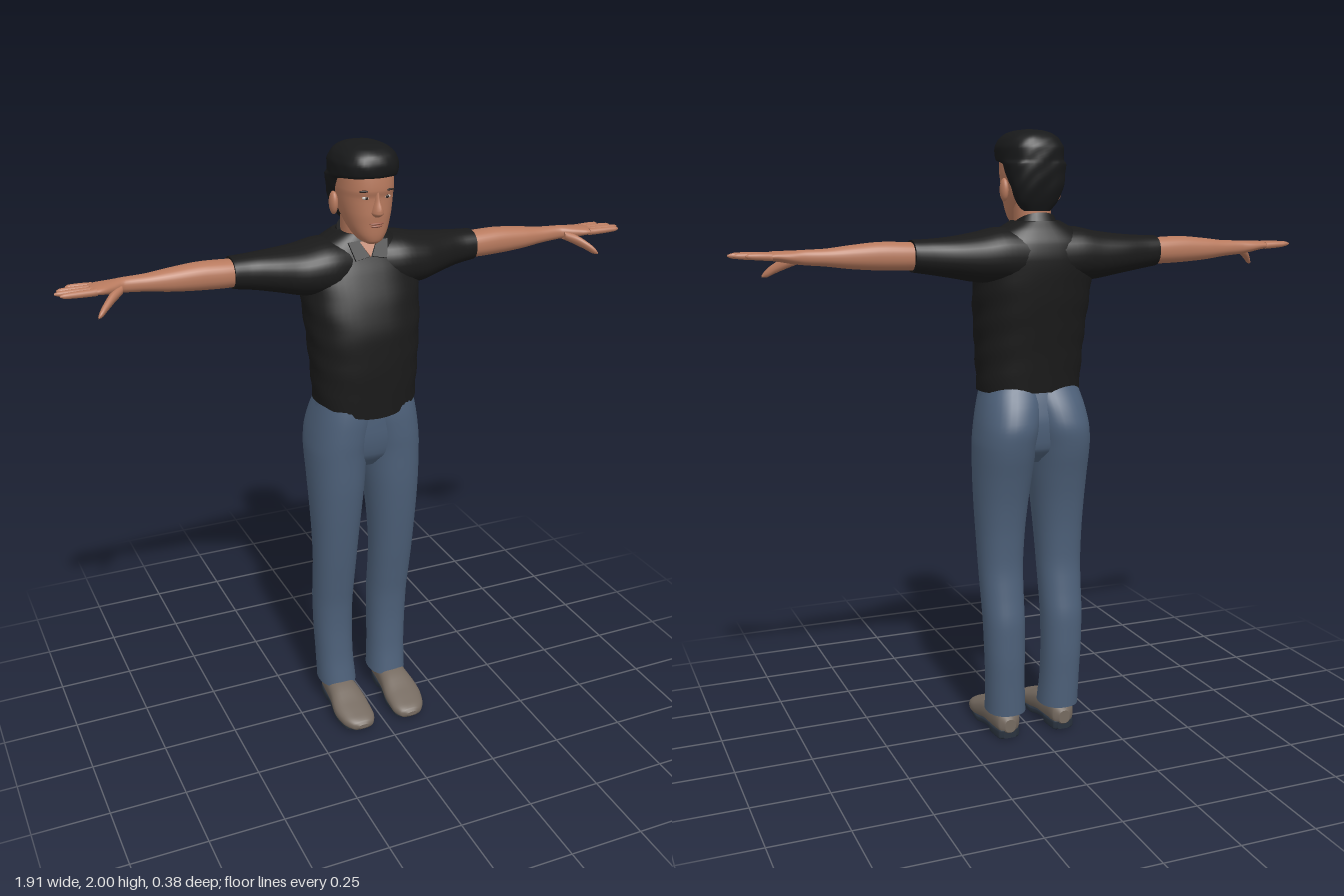
import * as THREE from 'three';

const mat = (name, color, side = THREE.FrontSide) => {
  const m = new THREE.MeshStandardMaterial({ color, side });
  m.name = name;
  return m;
};

// Smooth, overshoot-free interpolation through section rows [t, aMin, aMax, bMin, bMax]
function sample(rows, steps) {
  const slope = (i, k) => (rows[i + 1][k] - rows[i][k]) / (rows[i + 1][0] - rows[i][0]);
  const tangent = (i, k) => {
    if (i === 0) return slope(0, k);
    if (i === rows.length - 1) return slope(i - 1, k);
    const p = slope(i - 1, k), q = slope(i, k);
    return p * q <= 0 ? 0 : (2 * p * q) / (p + q);
  };
  const out = [];
  for (let i = 0; i < rows.length - 1; i++) {
    const h = rows[i + 1][0] - rows[i][0];
    for (let s = 0; s < steps; s++) {
      const u = s / steps, u2 = u * u, u3 = u2 * u;
      out.push(rows[i].map((v, k) => k === 0 ? v + h * u
        : v * (2 * u3 - 3 * u2 + 1) + rows[i + 1][k] * (3 * u2 - 2 * u3)
          + h * (tangent(i, k) * (u3 - 2 * u2 + u) + tangent(i + 1, k) * (u3 - u2))));
    }
  }
  out.push(rows[rows.length - 1]);
  return out;
}

// Capped loft of super-ellipses. Rows by axis: y -> (x, z), x -> (z, y), z -> (y, x)
function loft(rows, { axis = 'y', n = 2.3, seg = 32, steps = 4, tweak } = {}) {
  const pos = [], idx = [], rings = sample(rows, steps);
  const bend = (v) => Math.sign(v) * Math.abs(v) ** (2 / n);
  const ringPoints = rings.map(([t, a0, a1, b0, b1]) => Array.from({ length: seg }, (_, j) => {
    const th = (j / seg) * Math.PI * 2;
    const a = (a0 + a1) / 2 + ((a1 - a0) / 2) * bend(Math.cos(th));
    const b = (b0 + b1) / 2 + ((b1 - b0) / 2) * bend(Math.sin(th));
    const p = axis === 'y' ? new THREE.Vector3(a, t, b)
      : axis === 'x' ? new THREE.Vector3(t, b, a) : new THREE.Vector3(b, a, t);
    if (tweak) tweak(p);
    return p;
  }));
  ringPoints.forEach((ring, i) => ring.forEach((p, j) => {
    pos.push(p.x, p.y, p.z);
    if (i === rings.length - 1) return;
    const k = (j + 1) % seg, r = i * seg, q = r + seg;
    idx.push(r + j, q + j, r + k, r + k, q + j, q + k);
  }));
  [ringPoints[0], ringPoints[rings.length - 1]].forEach((ring, end) => {
    const base = pos.length / 3, c = new THREE.Vector3();
    ring.forEach((p) => { pos.push(p.x, p.y, p.z); c.addScaledVector(p, 1 / seg); });
    pos.push(c.x, c.y, c.z);
    for (let j = 0; j < seg; j++) {
      const k = (j + 1) % seg;
      idx.push(base + seg, base + (end ? k : j), base + (end ? j : k));
    }
  });
  const g = new THREE.BufferGeometry();
  g.setAttribute('position', new THREE.Float32BufferAttribute(pos, 3));
  g.setIndex(idx);
  g.computeVertexNormals();
  return g;
}

function mirrored(geo) {
  const g = geo.clone().scale(-1, 1, 1), a = g.index.array;
  for (let i = 0; i < a.length; i += 3) [a[i], a[i + 1]] = [a[i + 1], a[i]];
  return g;
}

const blob = (x, y, z, sx, sy, sz) =>
  new THREE.SphereGeometry(1, 20, 14).scale(sx, sy, sz).translate(x, y, z);

export function createModel() {
  const model = new THREE.Group();
  model.name = 'standingMan';
  const skin = mat('skin', 0xb87a5e), hairMat = mat('hair', 0x18191a);
  const cloth = mat('shirtBlack', 0x1a1a1a, THREE.DoubleSide), denim = mat('denim', 0x4d6079);
  const leather = mat('shoeLeather', 0x756a60), rubber = mat('soleRubber', 0x29323e);
  const lip = mat('lips', 0x9c5f4c), white = mat('eyeWhite', 0xc9c0b8), dark = mat('darkBrown', 0x2e221d);

  const add = (name, geo, material) => {
    const m = new THREE.Mesh(geo, material);
    m.name = name;
    model.add(m);
    return m;
  };
  const pair = (name, geo, material) => {
    add('left' + name, geo, material);
    add('right' + name, mirrored(geo), material);
  };
  // Rows symmetric about x = 0: [y, halfWidth, zBack, zFront]
  const centred = (rows, opts) => loft(rows.map(([y, w, b, f]) => [y, -w, w, b, f]), opts);

  // Shirt: body with a hem dipping at the front, sleeves and collar
  add('shirtBody', centred([
    [1.18, 0.168, -0.138, 0.1], [1.3, 0.175, -0.152, 0.108], [1.4, 0.182, -0.167, 0.106],
    [1.5, 0.19, -0.182, 0.086], [1.6, 0.194, -0.19, 0.05], [1.65, 0.18, -0.183, 0.028],
    [1.69, 0.13, -0.165, 0.012], [1.72, 0.075, -0.145, 0],
  ], {
    n: 2.5, seg: 48, steps: 5,
    tweak: (p) => {
      const fade = Math.max(0, (1.26 - p.y) / 0.08);
      p.x += 0.002 * Math.sin(p.y * 70 + p.z * 25);
      if (p.z > 0) p.y -= 0.043 * fade * Math.max(0, 1 - (p.x / 0.16) ** 2);
    },
  }), cloth);
  pair('Sleeve', loft([
    [0.04, -0.185, 0.03, 1.52, 1.7], [0.12, -0.188, 0.045, 1.525, 1.702],
    [0.2, -0.182, 0.035, 1.533, 1.687], [0.28, -0.172, 0, 1.548, 1.676],
    [0.36, -0.155, -0.03, 1.562, 1.67], [0.412, -0.147, -0.035, 1.57, 1.668],
  ], { axis: 'x' }), cloth);
  add('collar', centred([[1.665, 0.085, -0.145, 0.03], [1.712, 0.066, -0.128, 0.012]],
    { tweak: (p) => { p.y -= (p.z + 0.06) * 0.5; } }), cloth);
  const plate = (name, pts, material, z) => {
    const s = new THREE.Shape(pts.map(([x, y]) => new THREE.Vector2(x, y)));
    const m = add(name, new THREE.ExtrudeGeometry(s, { depth: 0.006, bevelEnabled: false }), material);
    m.position.set(0, 1.67, z);
    m.rotation.x = -0.5;
  };
  plate('openNeck', [[-0.028, 0.03], [0, -0.02], [0.028, 0.03]], skin, 0.024);
  plate('leftCollarPoint', [[0.004, -0.018], [0.052, -0.028], [0.066, 0.032], [0.03, 0.034]], cloth, 0.026);
  plate('rightCollarPoint', [[-0.004, -0.018], [-0.03, 0.034], [-0.066, 0.032], [-0.052, -0.028]], cloth, 0.026);

  // Arms, hands, fingers and thumbs
  pair('Arm', loft([
    [0.36, -0.135, -0.045, 1.577, 1.658], [0.43, -0.136, -0.042, 1.576, 1.662],
    [0.5, -0.134, -0.044, 1.578, 1.664], [0.6, -0.128, -0.05, 1.585, 1.656],
    [0.68, -0.118, -0.06, 1.595, 1.647], [0.74, -0.113, -0.064, 1.6, 1.645],
    [0.78, -0.115, -0.045, 1.605, 1.643], [0.82, -0.113, -0.025, 1.612, 1.642],
    [0.85, -0.11, -0.022, 1.616, 1.637],
  ], { axis: 'x' }), skin);
  const fingers = [[-0.1, -0.106, 0.912], [-0.077, -0.078, 0.943], [-0.055, -0.05, 0.955], [-0.033, -0.022, 0.943]];
  fingers.forEach(([z0, z1, tip], i) => {
    const row = (u, r) => {
      const x = 0.835 + (tip - 0.835) * u, z = z0 + (z1 - z0) * u, y = 1.627 + 0.003 * u;
      return [x, z - r, z + r, y - r, y + r];
    };
    pair('Finger' + (i + 1), loft([row(0, 0.0115), row(0.5, 0.0105), row(0.88, 0.008), row(1, 0.003)],
      { axis: 'x', seg: 12, n: 2 }), skin);
  });
  pair('Thumb', loft([
    [0.755, -0.085, -0.05, 1.602, 1.63], [0.785, -0.065, -0.022, 1.588, 1.622],
    [0.815, -0.033, 0.002, 1.572, 1.602], [0.838, -0.006, 0.015, 1.56, 1.58],
    [0.846, 0.006, 0.016, 1.56, 1.567],
  ], { axis: 'x', seg: 14, n: 2 }), skin);

  // Trousers: overlapping legs with a pelvis filling the middle
  add('pelvis', centred([
    [0.945, 0.05, -0.09, 0.03], [1, 0.14, -0.145, 0.072], [1.08, 0.172, -0.155, 0.085],
    [1.14, 0.17, -0.145, 0.086], [1.2, 0.16, -0.128, 0.085],
  ], { n: 2.5 }), denim);
  pair('TrouserLeg', loft([
    [0.09, 0.03, 0.162, -0.125, 0.028], [0.2, 0.036, 0.164, -0.13, 0.013],
    [0.3, 0.037, 0.168, -0.135, 0.01], [0.4, 0.036, 0.171, -0.135, 0.015],
    [0.5, 0.034, 0.174, -0.121, 0.03], [0.6, 0.031, 0.177, -0.11, 0.047],
    [0.7, 0.025, 0.181, -0.115, 0.062], [0.8, 0.016, 0.186, -0.128, 0.075],
    [0.9, 0.006, 0.19, -0.15, 0.085], [1, -0.002, 0.192, -0.176, 0.09],
    [1.06, -0.012, 0.187, -0.184, 0.094], [1.12, -0.025, 0.177, -0.17, 0.095],
    [1.2, -0.04, 0.158, -0.13, 0.088],
  ], { n: 2.25, seg: 36 }), denim);

  // Shoes and soles
  pair('Shoe', loft([
    [-0.108, 0.025, 0.07, 0.08, 0.118], [-0.09, 0.015, 0.1, 0.06, 0.138],
    [-0.04, 0.015, 0.115, 0.054, 0.146], [0.03, 0.018, 0.105, 0.045, 0.153],
    [0.1, 0.01, 0.077, 0.036, 0.163], [0.15, 0.007, 0.06, 0.037, 0.154],
    [0.185, 0.01, 0.046, 0.052, 0.132], [0.195, 0.02, 0.034, 0.075, 0.11],
  ], { axis: 'z', n: 2.5 }), leather);
  pair('Sole', loft([
    [-0.104, 0.004, 0.036, 0.076, 0.122], [-0.092, 0, 0.036, 0.062, 0.137],
    [-0.03, 0, 0.034, 0.056, 0.144], [-0.02, 0.012, 0.034, 0.056, 0.144],
    [0.03, 0.008, 0.03, 0.052, 0.147], [0.08, 0, 0.022, 0.044, 0.154],
    [0.15, 0, 0.02, 0.046, 0.146], [0.18, 0.006, 0.018, 0.066, 0.12],
  ], { axis: 'z', n: 5 }), rubber);

  // Neck and head
  add('neck', centred([[1.64, 0.062, -0.12, 0.004], [1.7, 0.056, -0.115, 0.006], [1.78, 0.058, -0.112, 0.01]]), skin);
  add('head', centred([
    [1.702, 0.018, 0.03, 0.062], [1.712, 0.036, -0.02, 0.074], [1.735, 0.053, -0.05, 0.08],
    [1.765, 0.066, -0.085, 0.083], [1.8, 0.076, -0.115, 0.086], [1.845, 0.083, -0.128, 0.086],
    [1.87, 0.085, -0.13, 0.092], [1.92, 0.085, -0.13, 0.088], [1.96, 0.065, -0.1, 0.06],
  ]), skin);
  add('nose', centred([
    [1.79, 0.01, 0.05, 0.092], [1.802, 0.019, 0.05, 0.111], [1.812, 0.017, 0.05, 0.111],
    [1.84, 0.01, 0.05, 0.098], [1.872, 0.007, 0.05, 0.09],
  ], { seg: 16, n: 2 }), skin);
  pair('Ear', blob(0.09, 1.815, -0.042, 0.013, 0.036, 0.022), skin);
  pair('Eye', blob(0.034, 1.849, 0.0775, 0.013, 0.0055, 0.006), white);
  pair('Iris', blob(0.034, 1.849, 0.081, 0.0055, 0.005, 0.004), dark);
  pair('Eyebrow', blob(0.036, 1.87, 0.0835, 0.019, 0.0035, 0.005).rotateY(0.04), dark);
  add('upperLip', blob(0, 1.769, 0.08, 0.024, 0.0045, 0.009), lip);
  add('lowerLip', blob(0, 1.761, 0.079, 0.02, 0.005, 0.009), lip);

  // Hair: cropped nape and sides, fuller on top
  add('hair', centred([
    [1.75, 0.045, -0.116, -0.06], [1.78, 0.068, -0.13, -0.055], [1.82, 0.083, -0.143, -0.05],
    [1.86, 0.092, -0.15, -0.012], [1.893, 0.097, -0.152, 0.01], [1.908, 0.098, -0.152, 0.092],
    [1.94, 0.099, -0.15, 0.099], [1.965, 0.09, -0.138, 0.092], [1.985, 0.07, -0.115, 0.07],
    [1.996, 0.042, -0.08, 0.035], [2, 0.012, -0.04, 0],
  ], {
    n: 2.5, seg: 48,
    tweak: (p) => {
      const bump = 1 + 0.014 * Math.sin(p.x * 90 + p.y * 60) * Math.sin(p.z * 80 + p.y * 50);
      p.x *= bump;
      p.z = -0.03 + (p.z + 0.03) * bump;
    },
  }), hairMat);
  return model;
}
